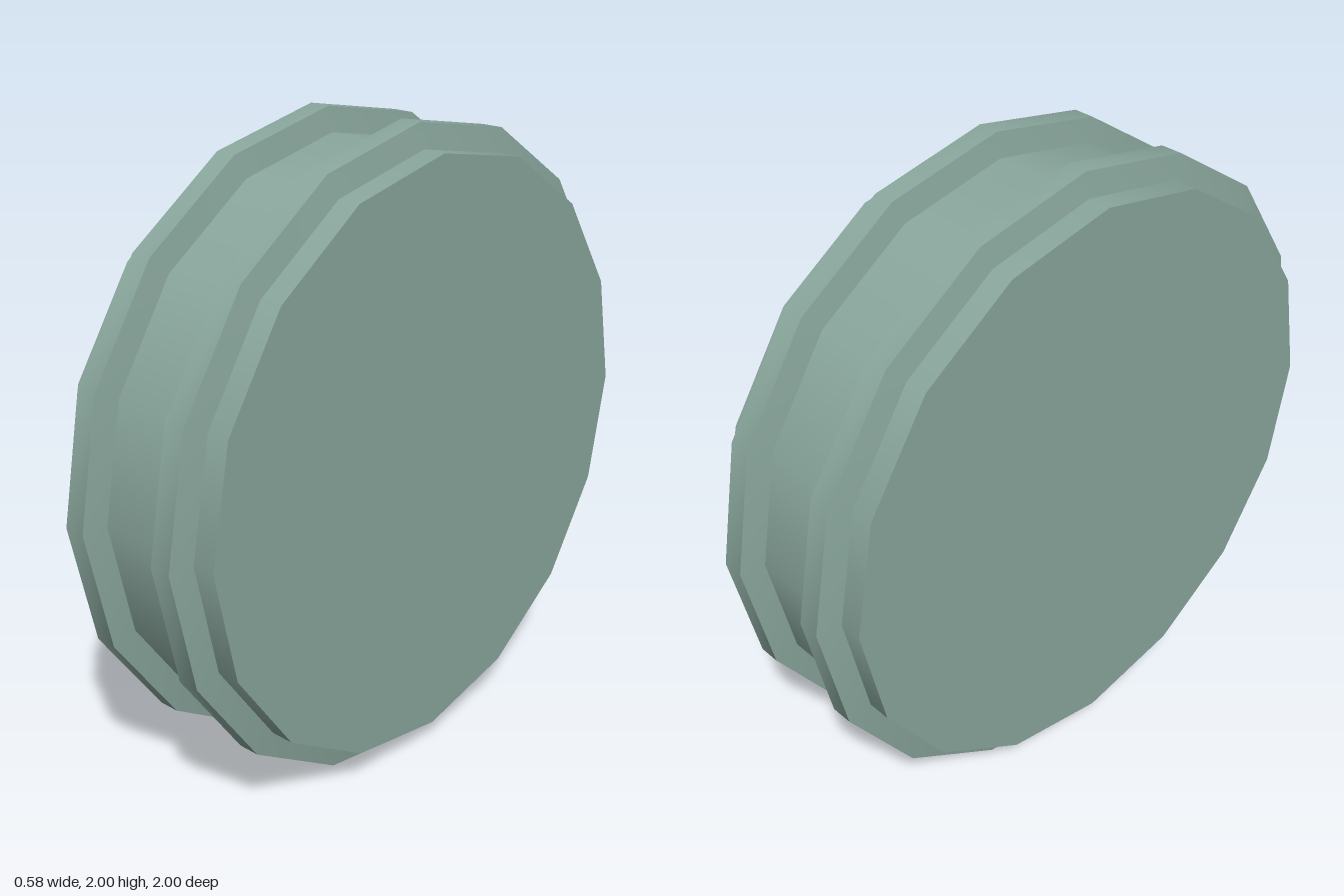
import * as THREE from 'three';
import { toCreasedNormals } from 'three/addons/utils/BufferGeometryUtils.js';

const SIDES = 16;

export function createModel() {
  const group = new THREE.Group();
  group.name = 'ribbedDrum';
  const material = new THREE.MeshStandardMaterial({ color: 0x8aa79d });

  // Solid drum lying along x
  const drumGeometry = new THREE.CylinderGeometry(0.925, 0.925, 0.58, SIDES);
  drumGeometry.rotateZ(-Math.PI / 2);
  const drum = new THREE.Mesh(drumGeometry, material);
  drum.name = 'drum';
  drum.position.y = 1;
  group.add(drum);

  // Raised rib with tapered flanks, its foot sunk into the drum
  const profile = [[0.9, -0.052], [1, -0.034], [1, 0.034], [0.9, 0.052]]
    .map(([r, h]) => new THREE.Vector2(r, h));
  const lathe = new THREE.LatheGeometry(profile, SIDES);
  lathe.rotateZ(-Math.PI / 2);
  const ribGeometry = toCreasedNormals(lathe, Math.PI / 6);

  for (const side of [-1, 1]) {
    const rib = new THREE.Mesh(ribGeometry, material);
    rib.name = side > 0 ? 'leftRib' : 'rightRib';
    rib.position.set(side * 0.17, 1, 0);
    group.add(rib);
  }
  return group;
}
